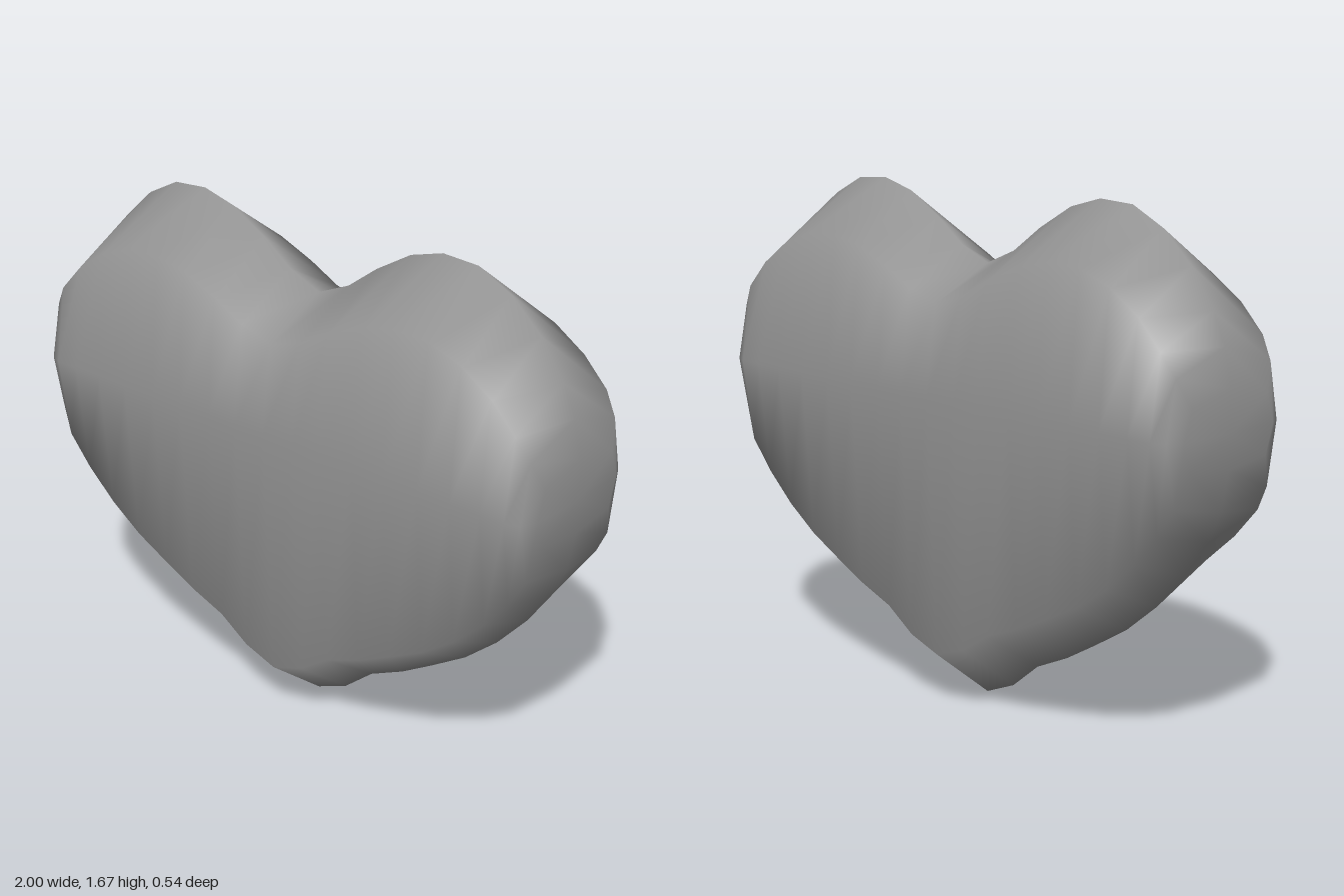
import * as THREE from 'three';

// Half-heart columns: [x, bottom y, top y, half depth]
const COLUMNS = [
  [0, 0, 1.43, 0.27], [0.12, 0.05, 1.48, 0.27], [0.23, 0.14, 1.56, 0.27],
  [0.36, 0.2, 1.635, 0.27], [0.48, 0.27, 1.668, 0.27], [0.61, 0.35, 1.66, 0.27],
  [0.73, 0.45, 1.6, 0.27], [0.84, 0.57, 1.5, 0.27], [0.925, 0.69, 1.378, 0.27],
  [0.97, 0.79, 1.28, 0.25], [0.995, 0.92, 1.16, 0.2],
];
const MID_Y = 1.03;

// Eight-sided upright cross-section: rim, shoulder, widest point, shoulder, rim, and back again
function section([x, bottom, top, depth]) {
  const upper = MID_Y + (top - MID_Y) * 0.73;
  const lower = MID_Y - (MID_Y - bottom) * 0.825;
  const side = depth * 0.85;
  return [
    [x, top, 0], [x, upper, side], [x, MID_Y, depth], [x, lower, side],
    [x, bottom, 0], [x, lower, -side], [x, MID_Y, -depth], [x, upper, -side],
  ];
}

function heartGeometry() {
  const mirrored = COLUMNS.slice(1).reverse().map(([x, ...rest]) => [-x, ...rest]);
  const rings = [...mirrored, ...COLUMNS].map(section);
  const points = rings.flat();
  const n = 8;
  const last = (rings.length - 1) * n;
  const index = [];

  // Skin between neighbouring sections
  for (let i = 0; i < rings.length - 1; i++) {
    for (let j = 0; j < n; j++) {
      const a = i * n + j;
      const b = i * n + (j + 1) % n;
      index.push(a, b, a + n, b, b + n, a + n);
    }
  }

  // Nearly flat ends
  const leftTip = points.push([1, MID_Y, 0]) - 1;
  const rightTip = points.push([-1, MID_Y, 0]) - 1;
  for (let j = 0; j < n; j++) {
    const k = (j + 1) % n;
    index.push(leftTip, last + j, last + k, rightTip, k, j);
  }

  const geometry = new THREE.BufferGeometry();
  geometry.setAttribute('position', new THREE.Float32BufferAttribute(points.flat(), 3));
  geometry.setIndex(index);
  geometry.computeVertexNormals();
  return geometry;
}

export function createModel() {
  const group = new THREE.Group();
  group.name = 'heart';
  const grey = new THREE.MeshStandardMaterial({ color: 0x999999 });
  grey.name = 'grey';
  const body = new THREE.Mesh(heartGeometry(), grey);
  body.name = 'heartBody';
  group.add(body);
  return group;
}
